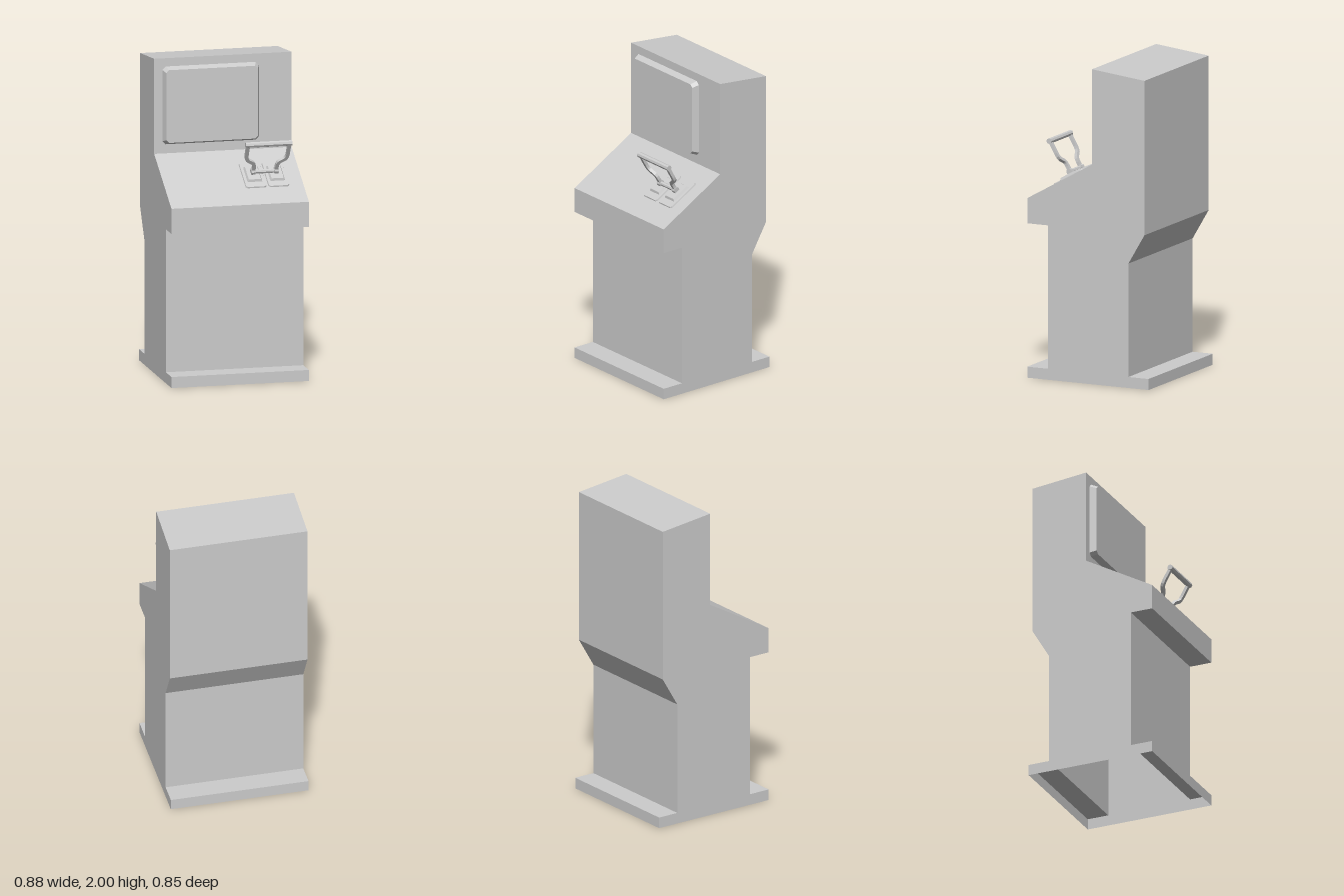
import * as THREE from 'three';

const material = new THREE.MeshStandardMaterial({ color: 0xcccccc, flatShading: true });
const shellMaterial = new THREE.MeshStandardMaterial({ color: 0xcccccc, flatShading: true, side: THREE.DoubleSide });

const HALF_WIDTH = 0.44;
// Side profile as [z, y], from the front foot over the top to the back foot
const PROFILE = [
  [0.423, 0], [0.423, 0.07], [0.277, 0.07], [0.277, 0.98], [0.423, 0.98], [0.423, 1.14],
  [-0.029, 1.395], [-0.029, 2], [-0.395, 1.96], [-0.395, 0.98], [-0.283, 0.79],
  [-0.283, 0.07], [-0.423, 0.07], [-0.423, 0],
];

function mesh(name, geometry, parent, mat = material) {
  const m = new THREE.Mesh(geometry, mat);
  m.name = name;
  parent.add(m);
  return m;
}

function fromTriangles(points) {
  const g = new THREE.BufferGeometry().setFromPoints(points);
  g.computeVertexNormals();
  return g;
}

// Hollow cabinet shell, open at the bottom
function cabinetGeometry() {
  const at = (x, [z, y]) => new THREE.Vector3(x, y, z);
  const tris = [];
  for (let i = 0; i < PROFILE.length - 1; i++) {
    const p = PROFILE[i], q = PROFILE[i + 1];
    const a = at(-HALF_WIDTH, p), b = at(HALF_WIDTH, p), c = at(HALF_WIDTH, q), d = at(-HALF_WIDTH, q);
    tris.push(a, b, c, a, c, d);
  }
  const contour = PROFILE.map(([z, y]) => new THREE.Vector2(z, y));
  for (const [i, j, k] of THREE.ShapeUtils.triangulateShape(contour, [])) {
    tris.push(...[i, j, k].map((n) => at(-HALF_WIDTH, PROFILE[n])));
    tris.push(...[k, j, i].map((n) => at(HALF_WIDTH, PROFILE[n])));
  }
  return fromTriangles(tris);
}

// Rectangle with cut corners, counter-clockwise
function cutRect(w, h, c, z) {
  const x = w / 2, y = h / 2;
  return [
    [x, -y + c], [x, y - c], [x - c, y], [-x + c, y],
    [-x, y - c], [-x, -y + c], [-x + c, -y], [x - c, -y],
  ].map(([px, py]) => new THREE.Vector3(px, py, z));
}

// Tapered slab with cut corners, rising along +z from its mounting surface
function slabGeometry(w, h, cut, inset, depth) {
  const base = cutRect(w, h, cut, 0);
  const top = cutRect(w - 2 * inset, h - 2 * inset, cut * 0.85, depth);
  const centre = new THREE.Vector3(0, 0, depth);
  const tris = [];
  base.forEach((b, i) => {
    const j = (i + 1) % base.length;
    tris.push(b, base[j], top[j], b, top[j], top[i], centre, top[i], top[j]);
  });
  return fromTriangles(tris);
}

// Flat S-shaped arm, outlined by offsetting its centre line
function armGeometry(side) {
  const bend = new THREE.CubicBezierCurve(
    new THREE.Vector2(0.073, 0.07), new THREE.Vector2(0.073, 0.135),
    new THREE.Vector2(0.132, 0.1), new THREE.Vector2(0.132, 0.17),
  );
  const line = [new THREE.Vector2(0.073, 0.031), ...bend.getPoints(8), new THREE.Vector2(0.132, 0.256)];
  const left = [], right = [];
  line.forEach((p, i) => {
    const t = line[Math.min(i + 1, line.length - 1)].clone().sub(line[Math.max(i - 1, 0)]).normalize();
    const n = new THREE.Vector2(-t.y, t.x).multiplyScalar(0.011);
    left.push(p.clone().add(n));
    right.push(p.clone().sub(n));
  });
  const outline = [...right, ...left.reverse()].map((p) => new THREE.Vector2(p.x * side, p.y));
  const g = new THREE.ExtrudeGeometry(new THREE.Shape(outline), { depth: 0.02, bevelEnabled: false });
  return g.translate(0, 0, -0.01);
}

// Eight-sided bar along x
function barGeometry(radius, length) {
  return new THREE.CylinderGeometry(radius, radius, length, 8).rotateZ(Math.PI / 2).rotateX(Math.PI / 8);
}

// Lever with two mounting plates, built with +y as the control panel's normal
function createLever() {
  const lever = new THREE.Group();
  lever.name = 'lever';
  for (const side of [1, -1]) {
    const label = side > 0 ? 'left' : 'right';
    const plate = mesh(label + 'Plate', slabGeometry(0.134, 0.234, 0.012, 0.003, 0.008), lever);
    plate.position.set(side * 0.073, 0, 0);
    plate.rotation.x = -Math.PI / 2;
    const pad = mesh(label + 'Pad', slabGeometry(0.094, 0.136, 0.001, 0.008, 0.014), lever);
    pad.position.set(side * 0.073, 0.008, 0);
    pad.rotation.x = -Math.PI / 2;
    const hub = mesh(label + 'Hub', barGeometry(0.021, 0.026), lever);
    hub.position.set(side * 0.074, 0.032, 0);
    mesh(label + 'Arm', armGeometry(side), lever);
  }
  mesh('pivotBar', barGeometry(0.014, 0.13), lever).position.y = 0.032;
  mesh('handle', barGeometry(0.018, 0.297), lever).position.y = 0.256;
  return lever;
}

export function createModel() {
  const model = new THREE.Group();
  model.name = 'arcadeCabinet';

  mesh('cabinet', cabinetGeometry(), model, shellMaterial);

  const screen = mesh('screen', slabGeometry(0.618, 0.495, 0.021, 0.016, 0.041), model);
  screen.position.set(-0.079, 1.7, -0.029);

  // Lever stands square to the sloping control panel
  const [frontZ, frontY] = PROFILE[5], [backZ, backY] = PROFILE[6];
  const slope = (backY - frontY) / (frontZ - backZ);
  const lever = createLever();
  const z = 0.187;
  lever.position.set(0.21, frontY + (frontZ - z) * slope, z);
  lever.rotation.x = Math.atan(slope);
  model.add(lever);

  return model;
}
